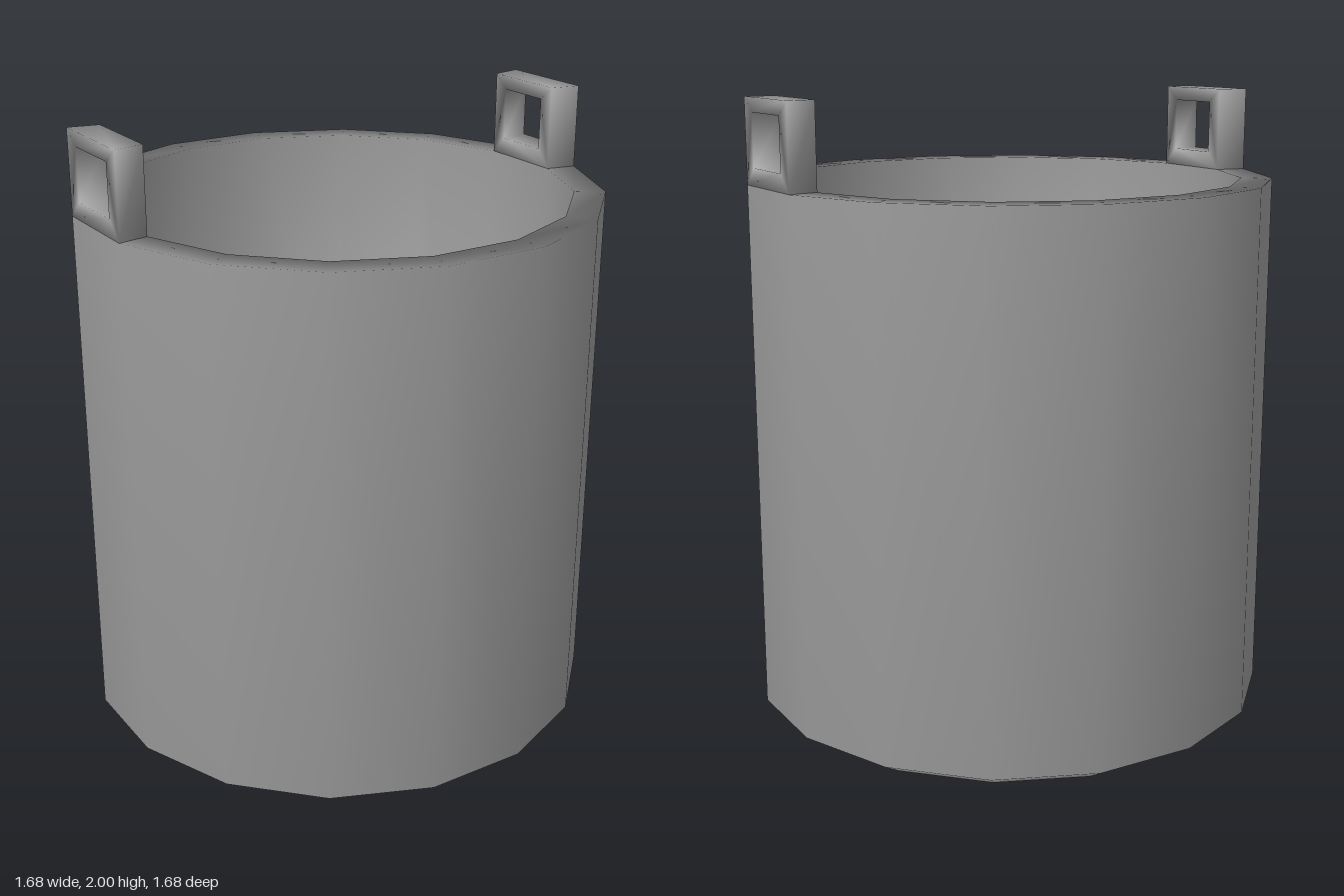
import * as THREE from 'three';
import { mergeVertices } from 'three/addons/utils/BufferGeometryUtils.js';

const SIDES = 16, R_OUT = 0.838, R_IN = 0.74, RIM = 1.735, TOP = 2;

// Square frame bent to one wall segment: u runs along the segment, depth runs from inner to outer wall
function lugGeometry() {
  const frame = new THREE.Shape([[0, RIM], [1, RIM], [1, TOP], [0, TOP]].map(p => new THREE.Vector2(...p)));
  frame.holes.push(new THREE.Path([[0.18, 1.79], [0.18, 1.955], [0.82, 1.955], [0.82, 1.79]].map(p => new THREE.Vector2(...p))));
  let geo = new THREE.ExtrudeGeometry(frame, { depth: 1, bevelEnabled: false });
  const pos = geo.attributes.position;
  const step = Math.PI * 2 / SIDES;
  for (let i = 0; i < pos.count; i++) {
    const u = pos.getX(i), r = THREE.MathUtils.lerp(R_IN, R_OUT, pos.getZ(i));
    pos.setXYZ(i, r * (1 - u + u * Math.cos(step)), pos.getY(i), -r * u * Math.sin(step));
  }
  geo.deleteAttribute('normal');
  geo.deleteAttribute('uv');
  geo.clearGroups();
  geo = mergeVertices(geo, 1e-4);
  geo.computeVertexNormals();
  return geo;
}

export function createModel() {
  const group = new THREE.Group();
  group.name = 'bucket';
  const grey = new THREE.MeshStandardMaterial({ color: 0x999999 });
  grey.name = 'grey';

  // Hollow body with a chamfered base and thick wall
  const profile = [
    [0, 0], [0.755, 0], [R_OUT, 0.05], [R_OUT, RIM], [R_IN, RIM], [R_IN, 0.1], [0, 0.1],
  ].map(p => new THREE.Vector2(...p));
  const body = new THREE.Mesh(new THREE.LatheGeometry(profile, SIDES), grey);
  body.name = 'body';
  group.add(body);

  // Two opposite handle lugs, half a turn apart
  const lug = lugGeometry();
  ['leftLug', 'rightLug'].forEach((name, i) => {
    const mesh = new THREE.Mesh(lug, grey);
    mesh.name = name;
    mesh.rotation.y = i * Math.PI;
    group.add(mesh);
  });
  return group;
}
